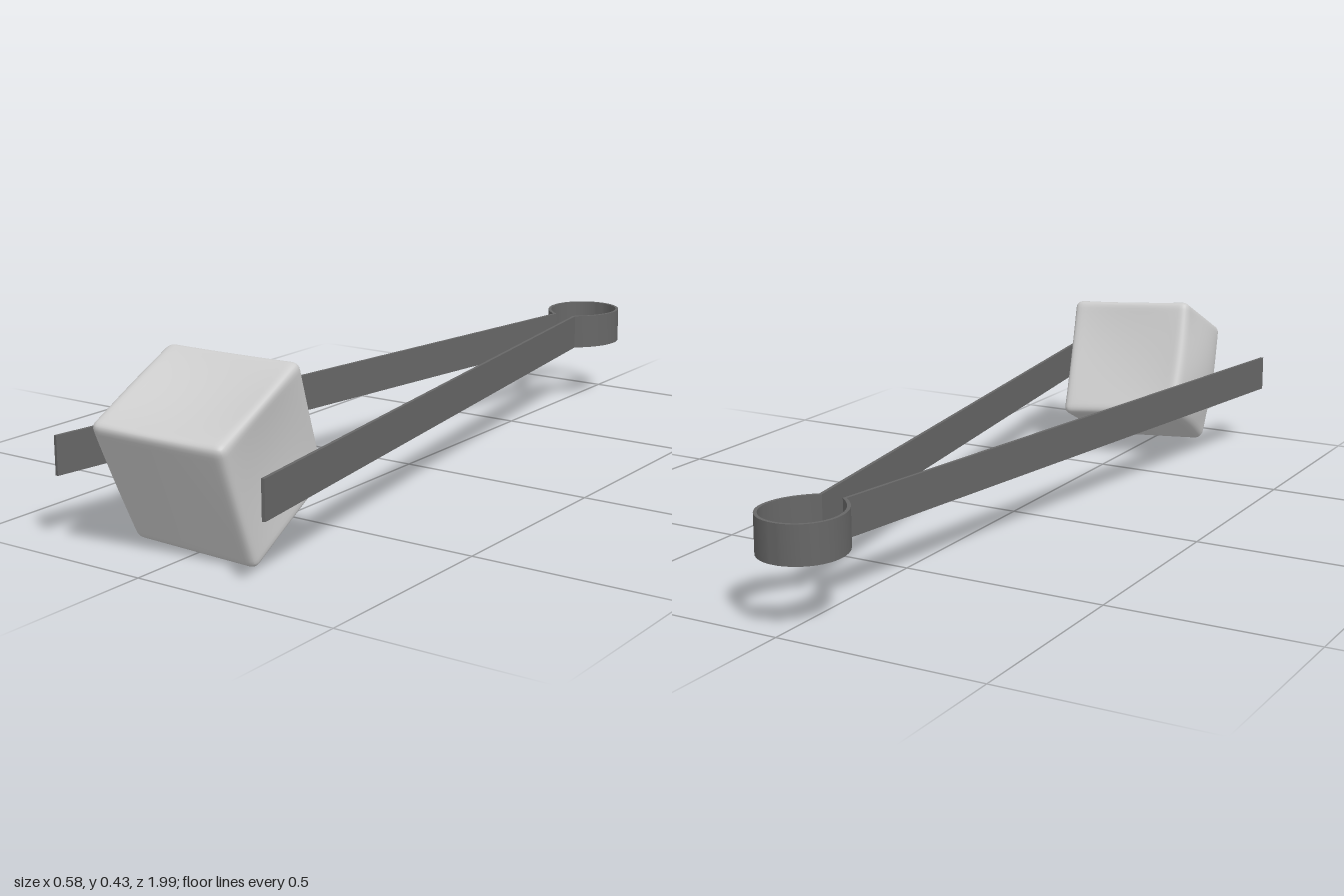
import * as THREE from 'three';
import { mergeVertices, toCreasedNormals } from 'three/addons/utils/BufferGeometryUtils.js';

const V2 = (x, y) => new THREE.Vector2(x, y);

// Offset an open plan path sideways by d, mitred at the corners
function offsetPath(path, d) {
  return path.map((p, i) => {
    const a = path[Math.max(i - 1, 0)], b = path[Math.min(i + 1, path.length - 1)];
    const t1 = (i > 0 ? p.clone().sub(a) : b.clone().sub(p)).normalize();
    const t2 = (i < path.length - 1 ? b.clone().sub(p) : t1.clone()).normalize();
    const n1 = V2(-t1.y, t1.x), m = n1.clone().add(V2(-t2.y, t2.x)).normalize();
    return p.clone().addScaledVector(m, d / Math.max(m.dot(n1), 0.4));
  });
}

// One bent strip: arm, spring loop, mirrored arm (plan points are x, -z)
function createTongs() {
  const half = [V2(0.284, -0.937)];
  const neck = new THREE.QuadraticBezierCurve(V2(0.031, 0.785), V2(0.093, 0.835), V2(0.093, 0.9));
  half.push(...neck.getPoints(10));
  for (let i = 1; i <= 16; i++) {
    const a = (i / 16) * Math.PI / 2;
    half.push(V2(0.093 * Math.cos(a), 0.9 + 0.096 * Math.sin(a)));
  }
  const path = [...half, ...half.slice(0, -1).reverse().map(p => V2(-p.x, p.y))];
  const outline = [...offsetPath(path, -0.004), ...offsetPath(path, 0.004).reverse()];
  const geo = new THREE.ExtrudeGeometry(new THREE.Shape(outline), { depth: 0.09, bevelEnabled: false });
  geo.rotateX(-Math.PI / 2).translate(0, 0.163, 0);
  const mesh = new THREE.Mesh(toCreasedNormals(geo, 0.5), new THREE.MeshStandardMaterial({ color: 0x666666 }));
  mesh.name = 'tongs';
  return mesh;
}

// Rounded, uneven cube: a unit box warped between eight corners, with dents and bulges
function createIceCube() {
  const corners = [ // [x, y, z sign], position
    [[-1, 1, 1], [-0.127, 0.315, 1.0]], [[1, 1, 1], [0.192, 0.298, 0.953]],
    [[-1, -1, 1], [-0.150, 0.017, 0.84]], [[1, -1, 1], [0.170, -0.002, 0.82]],
    [[-1, 1, -1], [-0.149, 0.440, 0.715]], [[1, 1, -1], [0.170, 0.426, 0.655]],
    [[-1, -1, -1], [-0.165, 0.150, 0.60]], [[1, -1, -1], [0.145, 0.128, 0.535]],
  ].map(([s, p]) => [s, new THREE.Vector3(...p)]);
  let geo = new THREE.BoxGeometry(2, 2, 2, 28, 28, 28);
  geo.deleteAttribute('uv');
  geo.deleteAttribute('normal');
  geo = mergeVertices(geo);
  const pos = geo.attributes.position, r = 0.13;
  const p = new THREE.Vector3(), core = new THREE.Vector3(), out = new THREE.Vector3();
  for (let i = 0; i < pos.count; i++) {
    // Crowd the vertices towards the edges, then round them
    p.fromBufferAttribute(pos, i);
    p.set(...p.toArray().map(c => Math.sin(c * Math.PI / 2)));
    core.copy(p).clampScalar(-1 + r, 1 - r);
    p.sub(core).normalize().multiplyScalar(r).add(core);
    out.set(0, 0, 0);
    for (const [s, c] of corners) {
      out.addScaledVector(c, (1 + s[0] * p.x) * (1 + s[1] * p.y) * (1 + s[2] * p.z) / 8 * 1);
    }
    // Left bulges, right and top sink, back swells slightly
    const hump = (a, b) => Math.max(0, 1 - a * a) * Math.max(0, 1 - b * b);
    out.x += hump(p.y, p.z) * (p.x < 0 ? 0.034 : -0.012) * p.x * Math.sign(p.x) * (p.x < 0 ? -1 : 1);
    const top = hump(p.x, p.z) * Math.max(p.y, 0) * -0.018;
    out.y += top * 0.92;
    out.z += top * 0.39;
    out.z += hump(p.x, p.y) * Math.max(-p.z, 0) * 0.012;
    pos.setXYZ(i, out.x, out.y, out.z);
  }
  geo.computeVertexNormals();
  const mesh = new THREE.Mesh(geo, new THREE.MeshStandardMaterial({ color: 0xcccccc }));
  mesh.name = 'iceCube';
  return mesh;
}

export function createModel() {
  const group = new THREE.Group();
  group.name = 'iceTongs';
  group.add(createTongs(), createIceCube());
  return group;
}
